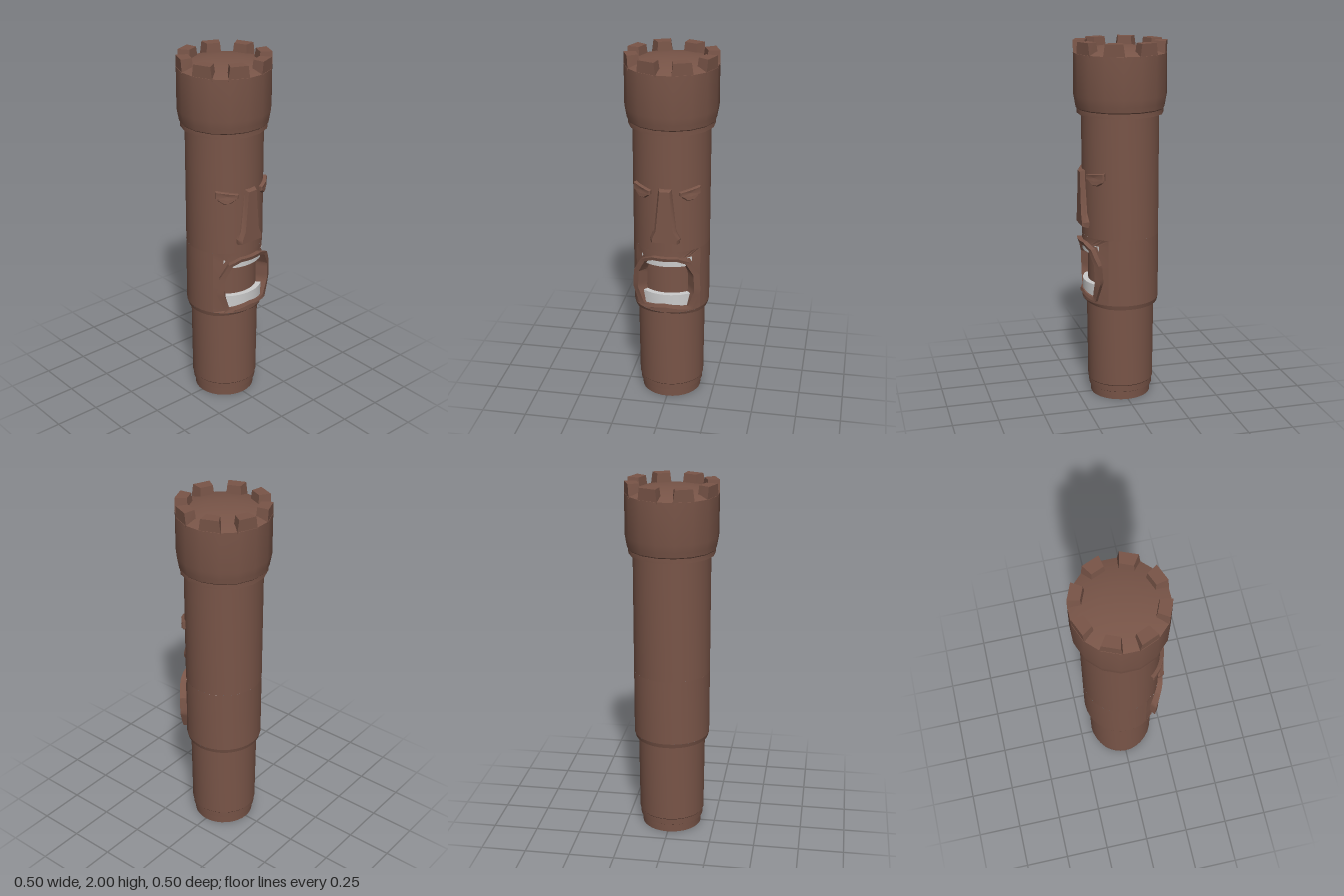
import * as THREE from 'three';
import { toCreasedNormals } from 'three/addons/utils/BufferGeometryUtils.js';

const wood = new THREE.MeshStandardMaterial({ color: 0x795548 });
const white = new THREE.MeshStandardMaterial({ color: 0xe6e6e6 });

// Point on the pole: angle from the front (+z) towards +x, height, radius
const polar = (a, y, r) => new THREE.Vector3(Math.sin(a) * r, y, Math.cos(a) * r);

// Skin a series of equal-length closed rings, optionally capping the last one
function loft(rings, cap = true) {
  const pos = [];
  const tri = (...pts) => pts.forEach((p) => pos.push(p.x, p.y, p.z));
  const n = rings[0].length;
  for (let k = 0; k < rings.length - 1; k++) {
    for (let i = 0; i < n; i++) {
      const j = (i + 1) % n, a = rings[k], b = rings[k + 1];
      tri(a[i], b[i], a[j]);
      tri(a[j], b[i], b[j]);
    }
  }
  if (cap) {
    const last = rings[rings.length - 1];
    const mid = last.reduce((s, p) => s.add(p), new THREE.Vector3()).divideScalar(n);
    last.forEach((p, i) => tri(p, mid, last[(i + 1) % n]));
  }
  const g = new THREE.BufferGeometry();
  g.setAttribute('position', new THREE.Float32BufferAttribute(pos, 3));
  return g;
}

function lathe(profile, segments = 32, start = 0, length = Math.PI * 2) {
  return new THREE.LatheGeometry(profile.map(([r, y]) => new THREE.Vector2(r, y)), segments, start, length);
}

// Mirror a half outline [angle, y, r] (top centre to bottom centre) and subdivide it around the pole
function mouthRing(half) {
  const pts = [...half, ...half.slice(1, -1).reverse().map(([a, y, r]) => [-a, y, r])];
  return pts.flatMap((p, i) => {
    const q = pts[(i + 1) % pts.length];
    return [0, 0.25, 0.5, 0.75].map((t) => polar(...p.map((v, c) => v + (q[c] - v) * t)));
  });
}

export function createModel() {
  const model = new THREE.Group();
  const add = (name, geometry, material = wood) => {
    const mesh = new THREE.Mesh(toCreasedNormals(geometry, 0.45), material);
    mesh.name = name;
    model.add(mesh);
  };
  const R = 0.212, OPEN = 1.0;

  // Foot, neck and the stepped chin, which rises slightly at the front centre
  const base = lathe([[0, 0], [0.168, 0], [0.17, 0.045], [0.178, 0.05], [0.18, 0.085], [0.184, 0.09],
    [0.188, 0.54], [0.205, 0.545], [R, 0.57]]);
  const p = base.attributes.position;
  for (let i = 0; i < p.count; i++) {
    const y = p.getY(i), a = Math.abs(Math.atan2(p.getX(i), p.getZ(i)));
    if (y > 0.53 && y < 0.56) p.setY(i, y + 0.02 * Math.max(0, 1 - a));
  }
  add('neckAndChin', base);

  // Pole around and above the mouth
  add('poleBack', lathe([[R, 0.57], [R, 0.94]], 24, OPEN, Math.PI * 2 - 2 * OPEN));
  add('poleUpper', lathe([[R, 0.94], [R, 1.615]]));

  // Face patch running into the raised lips and the mouth wall
  const border = [[0, 0.94], [0.4, 0.94], [OPEN, 0.94], [OPEN, 0.8], [OPEN, 0.7], [OPEN, 0.57], [0, 0.57]];
  const outer = [[0, 0.912], [0.3, 0.912], [0.6, 0.885], [0.82, 0.8], [0.86, 0.7], [0.68, 0.588], [0, 0.607]];
  const inner = [[0, 0.892], [0.3, 0.892], [0.5, 0.875], [0.68, 0.8], [0.7, 0.7], [0.58, 0.608], [0, 0.624]];
  const lipRadius = [0.24, 0.24, 0.245, 0.25, 0.25, 0.232, 0.222];
  const at = (outline, r) => mouthRing(outline.map(([a, y], i) => [a, y, Array.isArray(r) ? r[i] : r]));
  add('lips', loft([at(border, R), at(outer, R), at(outer, lipRadius),
    at(inner, lipRadius.map((r) => r - 0.006)), at(inner, 0.178)], false));
  add('mouthInside', lathe([[0.18, 0.58], [0.18, 0.93]], 16, -OPEN, 2 * OPEN));

  // Tooth bands
  for (const [name, y0, y1] of [['lowerTeeth', 0.6, 0.678], ['upperTeeth', 0.85, 0.9]]) {
    add(name, lathe([[0.178, y0], [0.21, y0], [0.21, y1], [0.178, y1]], 10, -0.72, 1.44), white);
  }

  // Nose: tapered wedge with flared nostrils
  const noseRing = (pts, z) => [...pts, ...pts.map(([x, y]) => [-x, y]).reverse()]
    .map(([x, y]) => new THREE.Vector3(x, y, z));
  const noseBase = [[0.036, 1.308], [0.06, 1.07], [0.082, 1.025], [0.078, 0.995]];
  const noseFront = [[0.027, 1.298], [0.047, 1.07], [0.068, 1.022], [0.068, 1.002]];
  add('nose', loft([noseRing(noseBase, 0.18), noseRing(noseBase, 0.21), noseRing(noseFront, 0.234)]));

  // Eyes: drooping lid over a half-closed eye
  const eyeball = [[0.39, 1.285], [0.88, 1.295], [0.87, 1.258], [0.72, 1.238], [0.55, 1.24], [0.41, 1.262]];
  const lid = [[0.36, 1.293], [0.6, 1.303], [0.92, 1.312], [0.92, 1.272], [0.64, 1.266], [0.37, 1.27]];
  for (const side of [1, -1]) {
    const ring = (pts, r, s = 1) => {
      const v = pts.map(([a, y]) => polar(side * (0.64 + (a - 0.64) * s), 1.275 + (y - 1.275) * s, r));
      return side > 0 ? v : v.reverse();
    };
    const label = side > 0 ? 'left' : 'right';
    add(label + 'Eye', loft([ring(eyeball, 0.2), ring(eyeball, 0.218), ring(eyeball, 0.226, 0.85)]));
    add(label + 'Eyelid', loft([ring(lid, 0.2), ring(lid, 0.226), ring(lid, 0.232, 0.9)]));
  }

  // Flared crown with a domed top
  add('crown', lathe([[0.2, 1.61], [0.235, 1.61], [0.235, 1.636], [0.241, 1.642], [0.246, 1.67], [0.253, 1.71],
    [0.253, 1.935], [0.2, 1.951], [0.1, 1.967], [0, 1.97]], 16, Math.PI / 16));

  // Battlements around the rim
  for (let i = 0; i < 8; i++) {
    const c = (i + 0.5) * Math.PI / 4;
    const ring = (y, h, r) => [[-h, r], [h, r], [h, 0.253], [-h, 0.253]].map(([a, d]) => polar(c + a, y, d));
    add('battlement', loft([ring(1.925, 0.235, 0.183), ring(2, 0.192, 0.189)]));
  }
  return model;
}
